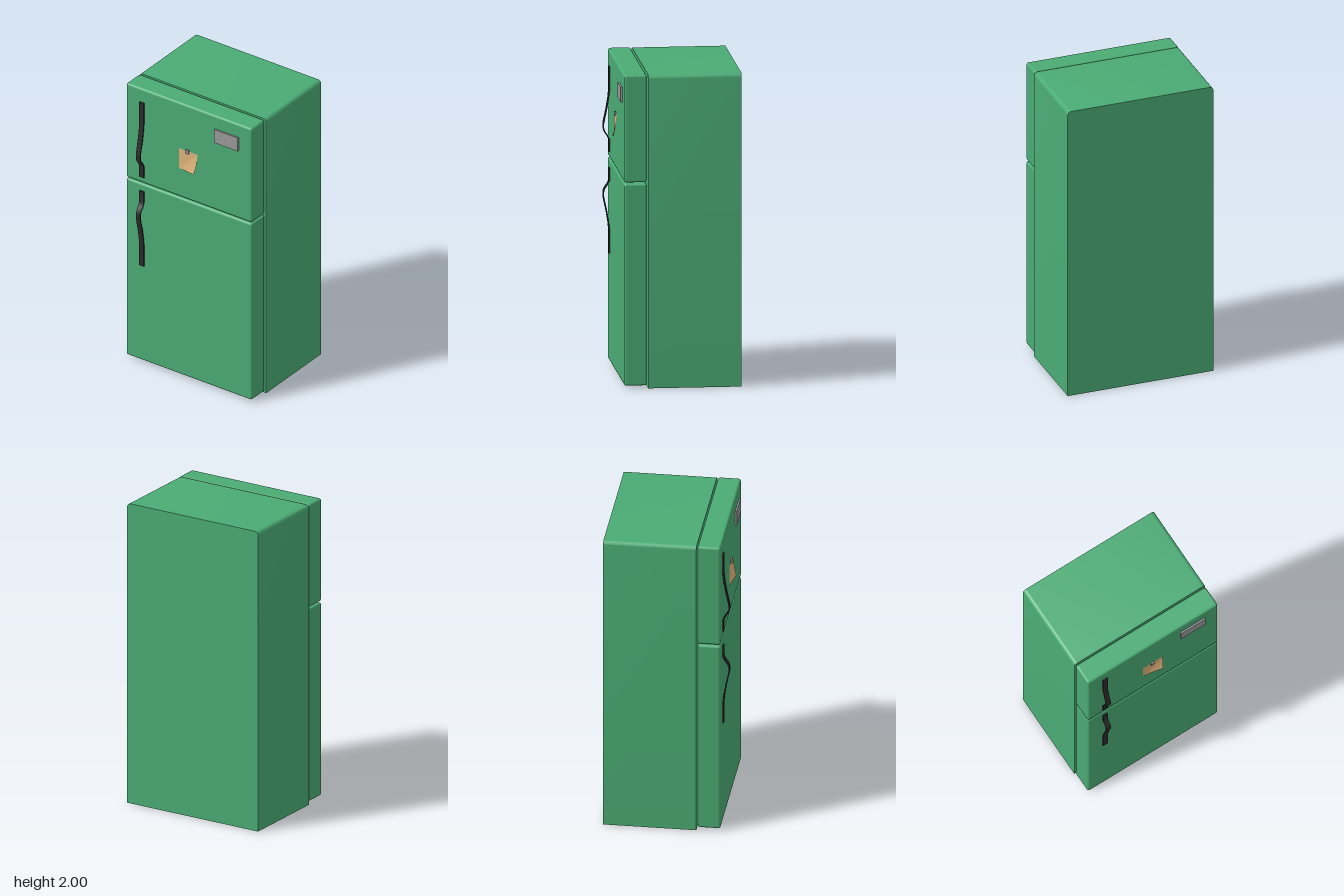
import * as THREE from 'three';
import { RoundedBoxGeometry } from 'three/addons/geometries/RoundedBoxGeometry.js';
import { toCreasedNormals } from 'three/addons/utils/BufferGeometryUtils.js';

const mat = (color, side = THREE.FrontSide) => new THREE.MeshStandardMaterial({ color, side });
const green = mat(0x4aab74);
const black = mat(0x2c2c2c);
const grey = mat(0x999999);
const paper = mat(0xdcb27a, THREE.DoubleSide);

const DOOR_FRONT = 0.347;

function add(parent, name, geometry, material, x = 0, y = 0, z = 0) {
  const mesh = new THREE.Mesh(geometry, material);
  mesh.name = name;
  mesh.position.set(x, y, z);
  parent.add(mesh);
  return mesh;
}

// Cabinet: square at the floor, rounded along the two top edges
function cabinetGeometry() {
  const w = 0.49, h = 2, r = 0.026;
  const s = new THREE.Shape();
  s.moveTo(-w, 0);
  s.lineTo(w, 0);
  s.lineTo(w, h - r);
  s.absarc(w - r, h - r, r, 0, Math.PI / 2, false);
  s.lineTo(-w + r, h);
  s.absarc(-w + r, h - r, r, Math.PI / 2, Math.PI, false);
  s.closePath();
  const g = new THREE.ExtrudeGeometry(s, { depth: 0.59, bevelEnabled: false, curveSegments: 4 });
  return toCreasedNormals(g, 0.6);
}

// Handle: a thin bent strap, bulging near one end; dir = 1 runs upward from y0, -1 downward
function handleGeometry(y0, dir) {
  const path = [[0, 0], [0.08, 0], [0.105, 0.012], [0.13, 0.03], [0.155, 0.037], [0.18, 0.037],
    [0.21, 0.031], [0.27, 0.018], [0.34, 0.006], [0.4, 0], [0.545, 0]];
  const pts = path.map(([t, out]) => new THREE.Vector2(DOOR_FRONT + 0.004 + out, y0 + dir * t));
  const side = (sign) => pts.map((p, i) => {
    const a = pts[Math.max(i - 1, 0)], b = pts[Math.min(i + 1, pts.length - 1)];
    const t = b.clone().sub(a).normalize();
    return new THREE.Vector2(p.x + sign * t.y * 0.004, p.y - sign * t.x * 0.004);
  });
  const strap = new THREE.Shape([...side(1), ...side(-1).reverse()]);
  const g = new THREE.ExtrudeGeometry(strap, { depth: 0.034, bevelEnabled: false });
  g.rotateY(-Math.PI / 2);
  return toCreasedNormals(g, 0.6);
}

// Paper note: a square sheet whose lower right corner curls away from the door
function noteGeometry() {
  const g = new THREE.PlaneGeometry(0.145, 0.145, 10, 10);
  const p = g.attributes.position;
  for (let i = 0; i < p.count; i++) {
    const u = p.getX(i) / 0.145 + 0.5, v = 0.5 - p.getY(i) / 0.145;
    const curl = Math.max(0, u + v - 1);
    p.setXYZ(i, p.getX(i) - 0.013 * curl ** 3, p.getY(i) + 0.009 * curl ** 3, 0.026 * curl ** 1.2);
  }
  g.computeVertexNormals();
  return g;
}

export function createModel() {
  const model = new THREE.Group();
  model.name = 'refrigerator';

  add(model, 'cabinet', cabinetGeometry(), green, 0, 0, -0.395);

  // Freezer door above, fridge door below
  for (const [name, y0, y1] of [['freezerDoor', 1.314, 2], ['fridgeDoor', 0.017, 1.306]]) {
    add(model, name, new RoundedBoxGeometry(0.972, y1 - y0, 0.145, 2, 0.015), green,
      0, (y0 + y1) / 2, DOOR_FRONT - 0.0725);
  }

  // Handles mirror each other across the gap between the doors
  add(model, 'freezerHandle', handleGeometry(1.358, 1), black, -0.343);
  add(model, 'fridgeHandle', handleGeometry(1.256, -1), black, -0.343);

  // Things on the freezer door
  add(model, 'plate', new THREE.BoxGeometry(0.182, 0.097, 0.012), grey, 0.296, 1.858, DOOR_FRONT + 0.005);
  add(model, 'note', noteGeometry(), paper, -0.003, 1.597, DOOR_FRONT + 0.002);
  add(model, 'magnet', new THREE.BoxGeometry(0.025, 0.027, 0.012), grey, -0.007, 1.667, DOOR_FRONT + 0.005);

  return model;
}
